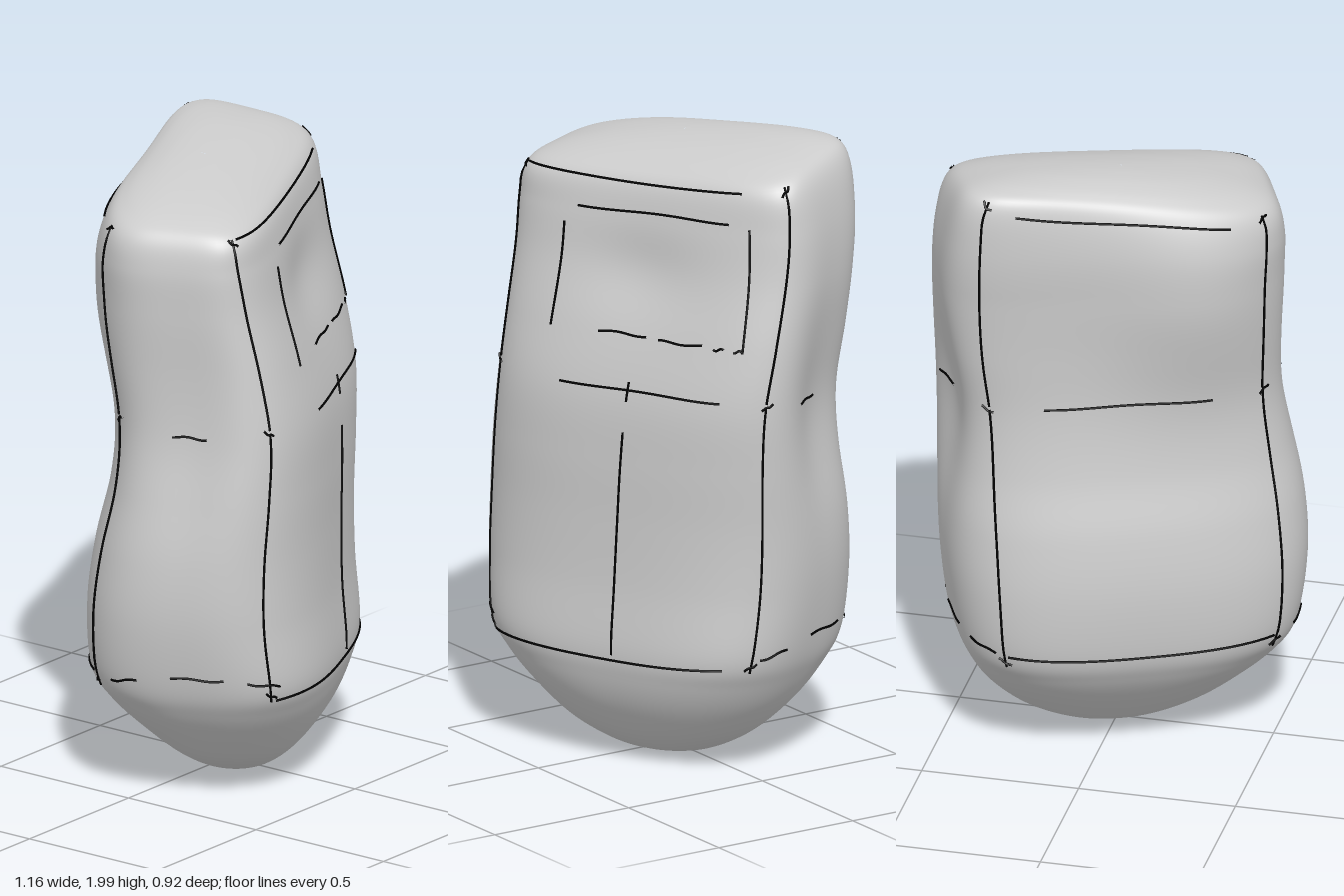
import * as THREE from 'three';

const TURN = THREE.MathUtils.degToRad(24); // body is turned about the vertical
const UP = new THREE.Vector3(0, 1, 0);
const SIDES = 112, RINGS = 150;

// Cross-sections: height, left, right, back, front, squareness
const SECTIONS = [
  [0, -0.001, 0.001, 0.049, 0.051, 2.1],
  [0.008, -0.1, 0.1, -0.02, 0.12, 2.1],
  [0.035, -0.205, 0.205, -0.085, 0.18, 2.15],
  [0.1, -0.325, 0.32, -0.165, 0.25, 2.3],
  [0.2, -0.43, 0.42, -0.265, 0.32, 2.5],
  [0.3, -0.51, 0.48, -0.34, 0.36, 2.8],
  [0.4, -0.555, 0.515, -0.38, 0.375, 3.1],
  [0.6, -0.585, 0.545, -0.39, 0.36, 2.9],
  [0.8, -0.585, 0.56, -0.365, 0.355, 2.8],
  [1.0, -0.565, 0.565, -0.315, 0.355, 2.9],
  [1.2, -0.535, 0.565, -0.285, 0.345, 3.2],
  [1.4, -0.515, 0.57, -0.28, 0.3, 3.6],
  [1.6, -0.51, 0.575, -0.29, 0.25, 3.6],
  [1.75, -0.505, 0.565, -0.3, 0.22, 3.9],
  [1.86, -0.48, 0.525, -0.28, 0.19, 4.6],
  [1.905, -0.42, 0.45, -0.24, 0.135, 3.8],
  [1.932, -0.29, 0.31, -0.18, 0.05, 2.8],
  [1.943, -0.14, 0.15, -0.12, -0.02, 2.3],
  [1.946, -0.001, 0.001, -0.071, -0.069, 2.1],
];
const LAST = SECTIONS.length - 1;

// Smooth interpolation through the cross-sections
function section(t) {
  const i = Math.min(Math.floor(t), LAST - 1), f = t - i;
  const at = (k) => SECTIONS[THREE.MathUtils.clamp(k, 0, LAST)];
  const [a, b, c, d] = [at(i - 1), at(i), at(i + 1), at(i + 2)];
  return b.map((p, k) => p + 0.5 * f * (c[k] - a[k]
    + f * (2 * a[k] - 5 * p + 4 * c[k] - d[k] + f * (3 * (p - c[k]) + d[k] - a[k]))));
}

// Soft falloff used for hollows and swellings
const bump = (a, a0, aSize, b, b0, bSize) =>
  Math.exp(-(((a - a0) / aSize) ** 2) - ((b - b0) / bSize) ** 2);

// Point of the soft body's skin at a section and an angle, pushed out a little
function skin(t, angle, lift = 0) {
  const [y, left, right, back, front, n] = section(t);
  const c = Math.cos(angle), s = Math.sin(angle);
  const r = (Math.abs(c) ** n + Math.abs(s) ** n) ** (-1 / n);
  let u = (left + right) / 2 + ((right - left) / 2 + lift) * r * c;
  let w = (back + front) / 2 + ((front - back) / 2 + lift) * r * s;
  // pinched flanks at the waist
  u -= (c > 0 ? 0.06 : 0.03) * c * bump(w, -0.04, 0.18, y, 1.15, 0.3);
  // shallow windscreen hollow, and a fuller upper back on one side
  if (s > 0) w -= 0.025 * s * bump(u, 0.03, 0.22, y, 1.58, 0.13);
  else w += 0.085 * s * bump(u, -0.25, 0.3, y, 1.58, 0.33);
  // the roof rises toward one back corner
  const rise = THREE.MathUtils.smoothstep(y, 1.65, 1.9)
    * (0.09 * (u + 0.5) * (0.5 - (w + 0.07) / 0.5) + 0.06 * u);
  return new THREE.Vector3(u, Math.max(0, y) + rise, w).applyAxisAngle(UP, TURN);
}

function bodyGeometry() {
  const points = [], index = [];
  for (let i = 0; i <= RINGS; i++) {
    for (let j = 0; j < SIDES; j++) {
      points.push(skin((i / RINGS) * LAST, (j / SIDES) * Math.PI * 2));
      if (i === RINGS) continue;
      const a = i * SIDES + j, b = i * SIDES + ((j + 1) % SIDES);
      index.push(a, a + SIDES, b, b, a + SIDES, b + SIDES);
    }
  }
  const geometry = new THREE.BufferGeometry().setFromPoints(points);
  geometry.setIndex(index);
  geometry.computeVertexNormals();
  return geometry;
}

// Find the section at a given height
function sectionAt(y) {
  let low = 0, high = LAST;
  for (let k = 0; k < 30; k++) {
    const mid = (low + high) / 2;
    if (section(mid)[0] < y) low = mid; else high = mid;
  }
  return low;
}

// Across a face, f runs from about -1 to 1 between its two upright edges
const FACE = { right: 0, front: Math.PI / 2, left: Math.PI, back: -Math.PI / 2 };

function stroke(name, face, f0, y0, f1, y1, material) {
  const points = [];
  for (let k = 0; k <= 14; k++) {
    const s = k / 14;
    const f = THREE.MathUtils.lerp(f0, f1, s);
    const y = THREE.MathUtils.lerp(y0, y1, s) + 0.003 * Math.sin(s * 7 + f0 * 5);
    points.push(skin(sectionAt(y), FACE[face] - Math.atan(f), 0.002));
  }
  const curve = new THREE.CatmullRomCurve3(points);
  const mesh = new THREE.Mesh(new THREE.TubeGeometry(curve, 28, 0.004, 5), material);
  mesh.name = name;
  return mesh;
}

export function createModel() {
  const model = new THREE.Group();
  model.name = 'softCab';
  const body = new THREE.Mesh(bodyGeometry(),
    new THREE.MeshStandardMaterial({ color: 0xcccccc }));
  body.name = 'body';
  model.add(body);

  const ink = new THREE.MeshStandardMaterial({ color: 0x000000 });
  const lines = new THREE.Group();
  lines.name = 'drawnLines';
  const draw = (...args) => lines.add(stroke(...args, ink));

  // Upright edges, broken at the waist, with small overshoots at the corners
  for (const [face, reach] of [['front', 1.28], ['back', 1]]) {
    for (const side of [-reach, reach]) {
      draw('lowerEdge', face, side, 0.36, side * 0.97, 1.23);
      draw('upperEdge', face, side * 0.97, 1.24, side, 1.87);
      for (const y of [0.38, 1.23, 1.86]) {
        draw('cornerTick', face, side * 0.92, y - 0.01, side * 1.08, y + 0.01);
      }
    }
  }

  // Front panel
  draw('frontSill', 'front', -1.2, 0.36, 0.9, 0.37);
  draw('frontWaist', 'front', -0.4, 1.23, 0.7, 1.24);
  draw('frontSeam', 'front', 0.06, 0.38, 0.06, 1.1);
  draw('frontSeamTick', 'front', 0.06, 1.2, 0.06, 1.26);
  draw('roofFrontEdge', 'front', -1.2, 1.87, 0.72, 1.86);

  // Windscreen outline
  draw('windscreenTop', 'front', -0.45, 1.77, 0.6, 1.78);
  draw('windscreenSide', 'front', -0.54, 1.71, -0.54, 1.39);
  draw('windscreenSide', 'front', 0.76, 1.77, 0.82, 1.4);
  for (const [a, b] of [[-0.2, 0.12], [0.2, 0.5], [0.58, 0.66], [0.74, 0.82]]) {
    draw('windscreenBottom', 'front', a, 1.4, b, 1.405);
  }

  // Side and back lines
  for (const face of ['left', 'right']) {
    draw('sideWaist', face, -0.25, 1.21, 0.1, 1.21);
    draw('sideSill', face, -0.7, 0.4, -0.4, 0.42);
    draw('sideSill', face, -0.1, 0.44, 0.35, 0.44);
    draw('sideSill', face, 0.55, 0.43, 0.9, 0.41);
  }
  draw('backWaist', 'back', -0.5, 1.24, 0.5, 1.24);
  draw('backSill', 'back', -0.95, 0.4, 0.95, 0.4);
  draw('roofBackEdge', 'back', -0.7, 1.84, 0.65, 1.84);
  model.add(lines);
  return model;
}
